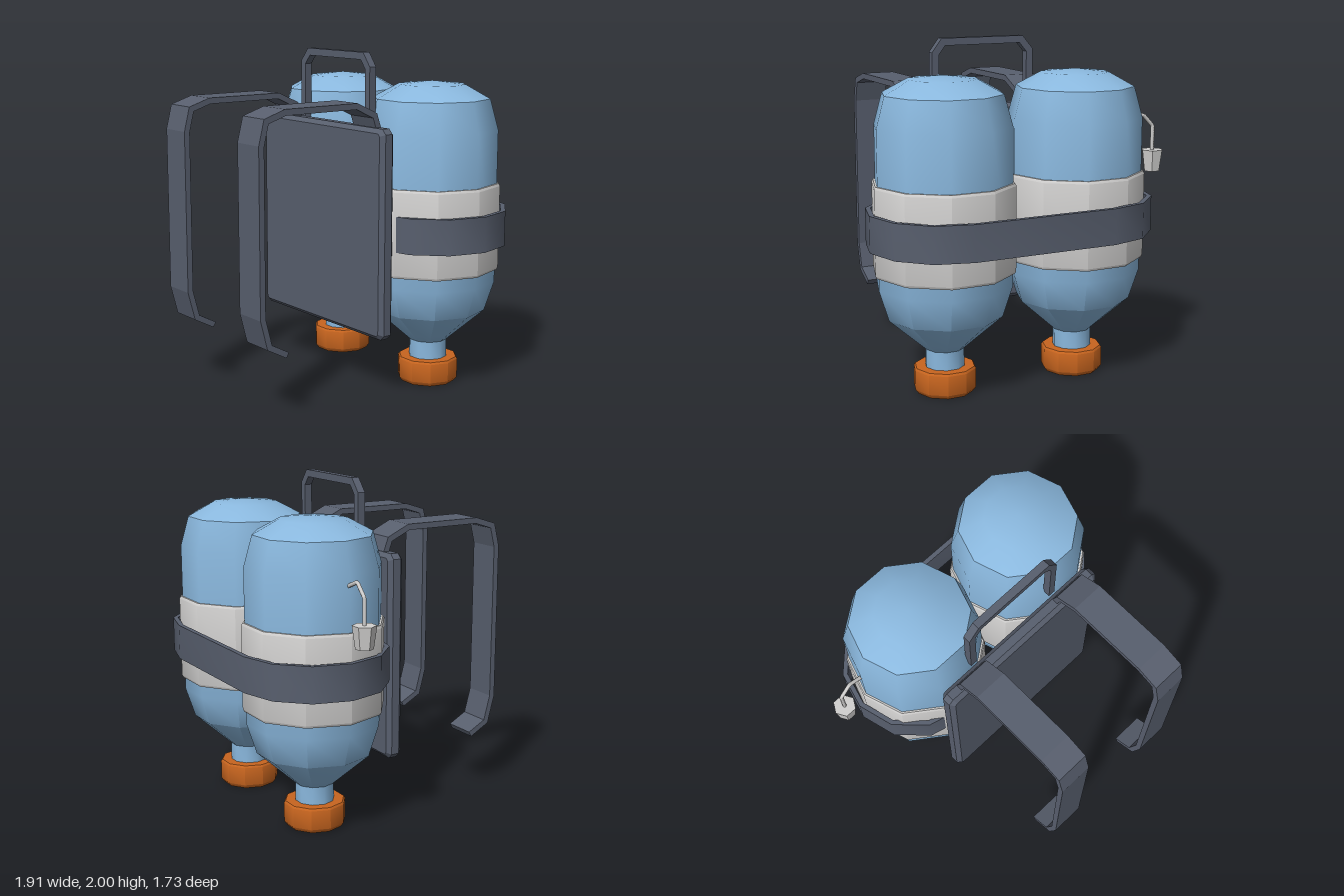
import * as THREE from 'three';
import { toCreasedNormals } from 'three/addons/utils/BufferGeometryUtils.js';

const V = (x, y) => new THREE.Vector2(x, y);

function material(name, color) {
  const m = new THREE.MeshStandardMaterial({ color });
  m.name = name;
  return m;
}

// Ten-sided turned part with a corner on the x axis
function turned(profile) {
  const pts = profile.map(([r, y]) => V(r, y));
  return toCreasedNormals(new THREE.LatheGeometry(pts, 10, Math.PI / 2), 0.7);
}

// Flat strip of even thickness following a path, with mitred bends
function strip(path, thickness, depth) {
  const p = path.map(([x, y]) => V(x, y));
  const left = [], right = [];
  p.forEach((c, i) => {
    const a = c.clone().sub(p[Math.max(i - 1, 0)]).normalize();
    const b = p[Math.min(i + 1, p.length - 1)].clone().sub(c).normalize();
    const dir = a.clone().add(b).normalize();
    const n = V(-dir.y, dir.x);
    const ref = i === 0 ? b : a;
    const reach = thickness / 2 / n.dot(V(-ref.y, ref.x));
    left.push(c.clone().addScaledVector(n, reach));
    right.unshift(c.clone().addScaledVector(n, -reach));
  });
  return new THREE.ExtrudeGeometry(new THREE.Shape([...left, ...right]), { depth, bevelEnabled: false });
}

// Outline of two half circles joined by straight runs
function stadium(x0, x1, z, r) {
  const pts = [];
  for (let i = 0; i <= 12; i++) {
    if (i === 6) pts.push(V(x1 + r * Math.cos(Math.PI / 2), -z + r));
    const a = -Math.PI / 2 + (i * Math.PI) / 6;
    pts.push(V((i < 7 ? x1 : x0) + r * Math.cos(a), -z + r * Math.sin(a)));
    if (i === 6) {
      pts.splice(-2, 1);
      pts.push(V(x0, -z + r));
    }
  }
  return pts;
}

export function createModel() {
  const blue = material('bottle blue', 0x8ab8de);
  const grey = material('light grey', 0xd2d1d0);
  const dark = material('slate', 0x585f6e);
  const orange = material('cap orange', 0xc8651f);

  const model = new THREE.Group();
  model.name = 'twinTankBackpack';
  const add = (name, geometry, mat, parent = model) => {
    const mesh = new THREE.Mesh(geometry, mat);
    mesh.name = name;
    parent.add(mesh);
    return mesh;
  };

  // Upside-down bottles with screw caps and wraps
  const bottle = turned([[0.115, 0.12], [0.115, 0.26], [0.34, 0.46], [0.397, 0.64],
    [0.397, 1.55], [0.347, 1.73], [0.2, 1.81], [0, 1.83]]);
  const cap = turned([[0, 0], [0.165, 0], [0.184, 0.025], [0.184, 0.14], [0.175, 0.152], [0, 0.152]]);
  const wrap = turned([[0.39, 0.715], [0.408, 0.715], [0.416, 0.73], [0.416, 1.22], [0.408, 1.235], [0.39, 1.235]]);
  for (const [side, x] of [['right', -0.345], ['left', 0.5]]) {
    const tank = new THREE.Group();
    tank.name = side + 'Tank';
    tank.position.set(x, 0, -0.41);
    add('bottle', bottle, blue, tank);
    add('cap', cap, orange, tank);
    add('wrap', wrap, grey, tank);
    model.add(tank);
  }

  // Belt around both bottles
  const beltShape = new THREE.Shape(stadium(-0.362, 0.515, -0.427, 0.438));
  beltShape.holes.push(new THREE.Path(stadium(-0.362, 0.515, -0.427, 0.408)));
  const belt = new THREE.ExtrudeGeometry(beltShape, { depth: 0.21, bevelEnabled: false });
  belt.rotateX(-Math.PI / 2).translate(0, 0.87, 0);
  add('belt', toCreasedNormals(belt, 0.7), dark);

  // Back plate with chamfered rim
  const w = 0.555, h = 0.59, c = 0.015;
  const plateShape = new THREE.Shape([V(-w + c, -h), V(w - c, -h), V(w, -h + c), V(w, h - c),
    V(w - c, h), V(-w + c, h), V(-w, h - c), V(-w, -h + c)]);
  const plate = new THREE.ExtrudeGeometry(plateShape,
    { depth: 0.05, bevelThickness: 0.025, bevelSize: 0.025, bevelSegments: 1 });
  add('backPlate', plate, dark).position.set(0.075, 0.975, 0.025);

  // Shoulder straps, path given as z, y
  const strap = strip([[0.04, 1.52], [0.045, 1.59], [0.07, 1.66], [0.2, 1.72], [0.69, 1.72],
    [0.815, 1.68], [0.848, 1.55], [0.848, 0.6], [0.805, 0.437], [0.685, 0.372]], 0.035, 0.202);
  strap.rotateY(-Math.PI / 2);
  add('rightStrap', strap, dark).position.x = -0.198;
  add('leftStrap', strap, dark).position.x = 0.555;

  // Carry handle
  const handle = strip([[-0.233, 1.56], [-0.233, 1.912], [-0.176, 1.979], [0.334, 1.979],
    [0.385, 1.912], [0.385, 1.56]], 0.043, 0.047);
  add('handle', handle, dark).position.z = -0.058;

  // Thin hose and hexagonal nozzle
  const hosePath = new THREE.CurvePath();
  const hosePoints = [[-0.71, 1.485], [-0.82, 1.53], [-0.893, 1.455], [-0.893, 1.29]]
    .map(([x, y]) => new THREE.Vector3(x, y, -0.415));
  for (let i = 0; i < 3; i++) hosePath.add(new THREE.LineCurve3(hosePoints[i], hosePoints[i + 1]));
  add('hose', new THREE.TubeGeometry(hosePath, 24, 0.012, 6), grey);
  const nozzle = new THREE.CylinderGeometry(0.068, 0.05, 0.13, 6).rotateY(Math.PI / 6);
  add('nozzle', toCreasedNormals(nozzle, 0.7), grey).position.set(-0.893, 1.245, -0.415);

  return model;
}
